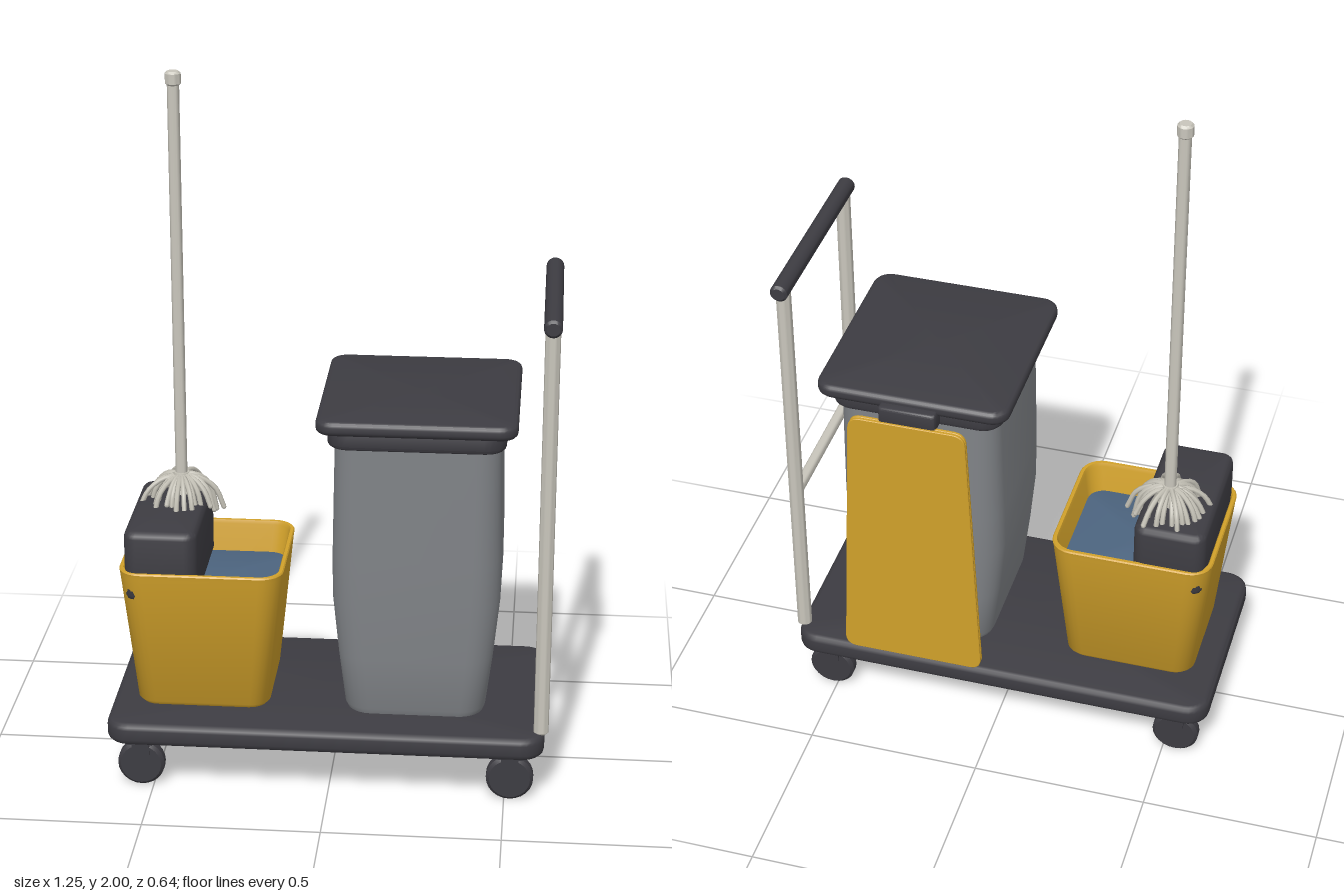
import * as THREE from 'three';
import { toCreasedNormals } from 'three/addons/utils/BufferGeometryUtils.js';

const mat = (name, color, side = THREE.FrontSide) => {
  const m = new THREE.MeshStandardMaterial({ color, side });
  m.name = name;
  return m;
};

// Rounded-rectangle loop in the xz plane
function loop(hx, hz, r, y, seg = 6) {
  const pts = [];
  [[1, 1], [-1, 1], [-1, -1], [1, -1]].forEach(([sx, sz], q) => {
    for (let i = 0; i <= seg; i++) {
      const a = (q + i / seg) * Math.PI / 2;
      pts.push([sx * (hx - r) + r * Math.cos(a), y, sz * (hz - r) + r * Math.sin(a)]);
    }
  });
  return pts;
}

// Capped loft through sections [y, hx, hz, cornerRadius]
function loft(sections, crease = 0.7) {
  const rings = sections.map(([y, hx, hz, r]) => loop(hx, hz, r, y));
  const n = rings[0].length, pos = [], idx = [];
  rings.forEach(r => r.forEach(p => pos.push(...p)));
  for (let i = 0; i < rings.length - 1; i++) {
    for (let j = 0; j < n; j++) {
      const a = i * n + j, b = i * n + (j + 1) % n;
      idx.push(a, a + n, b, b, a + n, b + n);
    }
  }
  const last = (rings.length - 1) * n, c = rings.length * n;
  pos.push(0, sections[0][0], 0, 0, sections[sections.length - 1][0], 0);
  for (let j = 0; j < n; j++) {
    const k = (j + 1) % n;
    idx.push(c, j, k, c + 1, last + k, last + j);
  }
  const g = new THREE.BufferGeometry();
  g.setAttribute('position', new THREE.Float32BufferAttribute(pos, 3));
  g.setIndex(idx);
  return toCreasedNormals(g, crease);
}

// Slab with rounded corners and softened top and bottom edges
function slab(hx, hz, r, y0, y1, b) {
  const s = [];
  for (let i = 0; i <= 3; i++) {
    const a = i / 3 * Math.PI / 2, d = b * (1 - Math.sin(a));
    s.push([y0 + b * (1 - Math.cos(a)), hx - d, hz - d, r - d]);
  }
  return loft([...s, ...s.map(([y, ...q]) => [y0 + y1 - y, ...q]).reverse()]);
}

// Rod with softened ends, standing on y = 0
function rod(radius, length, b = 0.005) {
  const p = [[0, 0], [radius - b, 0], [radius, b], [radius, length - b], [radius - b, length], [0, length]];
  return toCreasedNormals(new THREE.LatheGeometry(p.map(q => new THREE.Vector2(...q)), 24), 0.6);
}

export function createModel() {
  const root = new THREE.Group();
  root.name = 'cleaningCart';
  const dark = mat('dark plastic', 0x3d3c42);
  const yellow = mat('yellow plastic', 0xd0a02a);
  const grey = mat('grey plastic', 0x808387);
  const metal = mat('pale metal', 0xc8c5bb);
  const water = mat('water', 0x4d6580);
  const cotton = mat('mop cotton', 0xc4c1b6);

  const add = (name, geo, m, x = 0, y = 0, z = 0, parent = root) => {
    const mesh = new THREE.Mesh(geo, m);
    mesh.name = name;
    mesh.position.set(x, y, z);
    parent.add(mesh);
    return mesh;
  };

  // Deck and casters
  add('deck', slab(0.62, 0.315, 0.065, 0.145, 0.21, 0.018), dark, -0.01);
  for (const x of [-0.535, 0.515]) {
    for (const z of [-0.25, 0.25]) {
      const caster = new THREE.Group();
      caster.name = 'caster';
      caster.position.set(x, 0, z);
      root.add(caster);
      add('wheel', rod(0.067, 0.042, 0.009), dark, 0, 0.067, -0.021, caster).rotation.x = Math.PI / 2;
      add('casterFork', new THREE.BoxGeometry(0.05, 0.045, 0.056), dark, 0, 0.12, 0, caster);
      add('casterPlate', new THREE.BoxGeometry(0.07, 0.014, 0.068), dark, 0, 0.14, 0, caster);
    }
  }

  // Push handle
  for (const z of [-0.248, 0.248]) add('handlePost', rod(0.021, 1.2), metal, 0.6, 0.205, z);
  add('handleCrossbar', rod(0.016, 0.48), metal, 0.6, 0.7, -0.24).rotation.x = Math.PI / 2;
  add('handleGrip', rod(0.025, 0.578, 0.007), dark, 0.6, 1.412, -0.289).rotation.x = Math.PI / 2;

  // Bucket: outer wall, rim, then inner wall down to the floor
  add('bucket', loft([
    [0.21, 0.18, 0.172, 0.05], [0.222, 0.19, 0.181, 0.055],
    [0.615, 0.231, 0.214, 0.065], [0.628, 0.233, 0.216, 0.065],
    [0.632, 0.23, 0.213, 0.062], [0.632, 0.221, 0.204, 0.055],
    [0.622, 0.217, 0.2, 0.052], [0.24, 0.172, 0.163, 0.04],
  ]), yellow, -0.367);
  add('bucketWater', slab(0.209, 0.193, 0.045, 0.53, 0.538, 0.001), water, -0.367);
  add('wringer', slab(0.103, 0.206, 0.035, 0.54, 0.752, 0.02), dark, -0.478);

  // Bin with collar and lid
  add('bin', loft([
    [0.222, 0.178, 0.2, 0.06], [0.228, 0.192, 0.215, 0.068], [0.245, 0.199, 0.221, 0.07],
    [0.4, 0.218, 0.23, 0.075], [0.57, 0.235, 0.236, 0.08], [0.7, 0.235, 0.237, 0.075],
    [0.9, 0.231, 0.238, 0.07], [1.05, 0.228, 0.239, 0.07],
  ]), grey, 0.24);
  add('binCollar', slab(0.245, 0.258, 0.06, 1.038, 1.095, 0.012), dark, 0.239);
  add('binLid', slab(0.275, 0.29, 0.05, 1.09, 1.13, 0.014), dark, 0.24);

  // Folded floor sign: two tapered sheets hung behind the bin
  const sign = new THREE.Shape();
  const corners = [[-0.204, 0], [0.204, 0], [0.165, 0.84], [-0.165, 0.84]].map(p => new THREE.Vector2(...p));
  corners.forEach((p, i) => {
    const toward = q => p.clone().add(q.clone().sub(p).setLength(0.035));
    const a = toward(corners[(i + 3) % 4]), b = toward(corners[(i + 1) % 4]);
    if (i) sign.lineTo(a.x, a.y); else sign.moveTo(a.x, a.y);
    sign.quadraticCurveTo(p.x, p.y, b.x, b.y);
  });
  sign.closePath();
  for (const z of [-0.31, -0.321]) {
    add('signSheet', new THREE.ExtrudeGeometry(sign, {
      depth: 0.006, bevelEnabled: true, bevelThickness: 0.0015, bevelSize: 0.002, bevelSegments: 1,
    }), yellow, 0.24, 0.222, z);
  }
  add('signHook', slab(0.082, 0.03, 0.012, 1.05, 1.11, 0.008), dark, 0.24, 0, -0.286);

  // Mop: pole, end cap and drooping strands
  const mop = new THREE.Group();
  mop.name = 'mop';
  mop.position.set(-0.452, 0, -0.08);
  root.add(mop);
  add('mopPole', rod(0.017, 1.2), metal, 0, 0.78, 0, mop);
  add('mopCap', rod(0.022, 0.04, 0.006), metal, 0, 1.96, 0, mop);
  add('mopSocket', new THREE.CylinderGeometry(0.022, 0.035, 0.06, 16), cotton, 0, 0.8, 0, mop);
  let seed = 7;
  const rand = () => (seed = (seed * 16807) % 2147483647) / 2147483647;
  const count = 30;
  for (let i = 0; i < count; i++) {
    const a = (i + 0.6 * rand()) / count * Math.PI * 2;
    const reach = 0.075 + 0.05 * rand(), drop = 0.71 + 0.05 * rand(), top = 0.815 + 0.01 * rand();
    const at = (r, y) => new THREE.Vector3(Math.cos(a) * r, y, Math.sin(a) * r);
    const path = new THREE.CatmullRomCurve3([
      at(0.01, top), at(reach * 0.45, top - 0.005), at(reach * 0.8, top - 0.035), at(reach, drop),
    ]);
    add('mopStrand', new THREE.TubeGeometry(path, 8, 0.0075, 6), cotton, 0, 0, 0, mop);
    add('strandTip', new THREE.SphereGeometry(0.0075, 6, 4), cotton, ...at(reach, drop).toArray(), mop);
  }
  return root;
}
